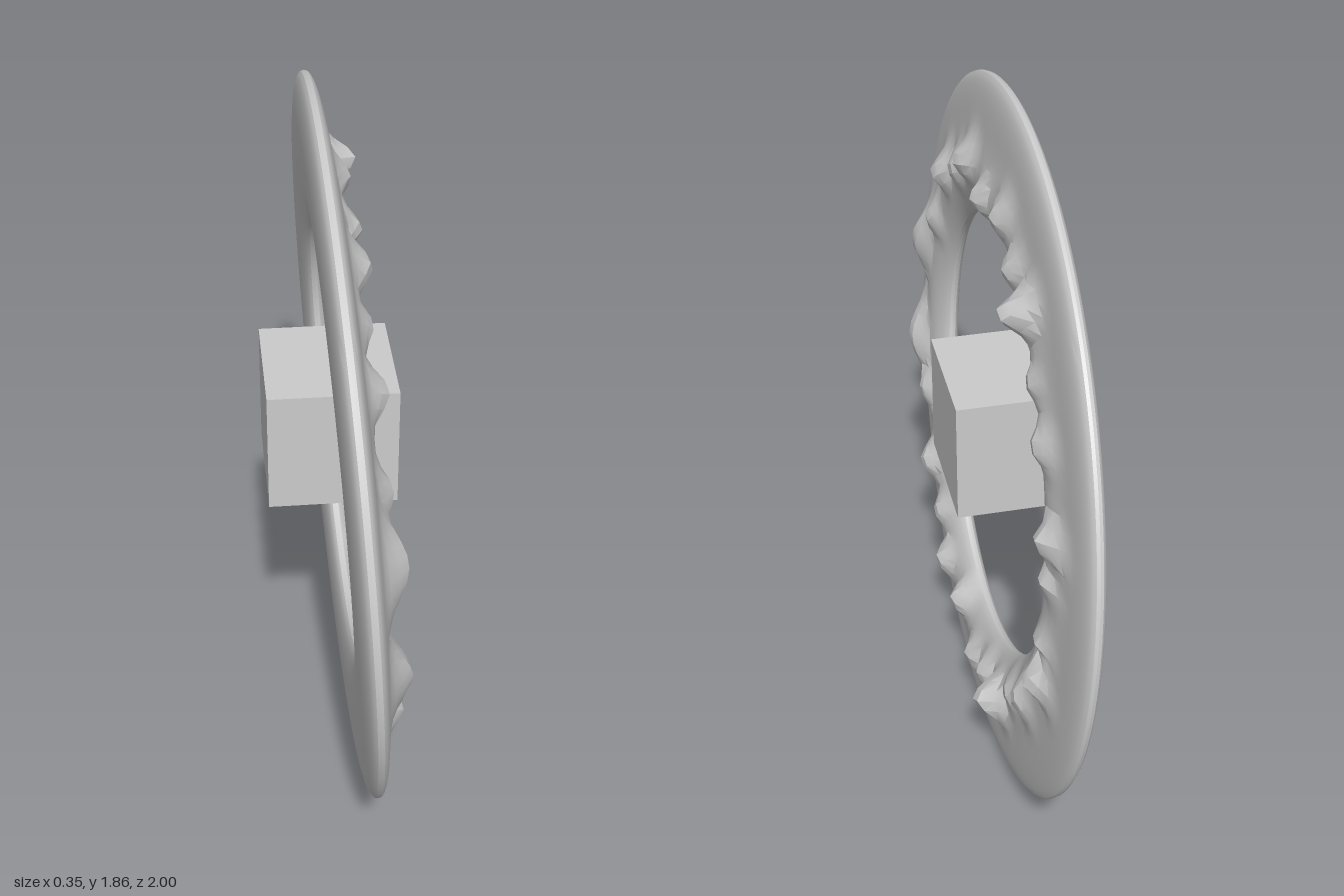
import * as THREE from 'three';
import { toCreasedNormals } from 'three/addons/utils/BufferGeometryUtils.js';

// Ridges on the ring face: [angle in degrees, height, radius, angular width]
// Angles run from +z; the set is mirrored above and below.
const RIDGES = [
  [13, 0.065, 0.80, 9], [25, 0.05, 0.74, 6], [43, 0.06, 0.77, 5],
  [56, 0.045, 0.74, 5], [68, 0.06, 0.76, 5], [83, 0.06, 0.70, 5],
  [98, 0.05, 0.75, 5], [110, 0.05, 0.72, 5], [121, 0.09, 0.75, 4.5],
  [134, 0.04, 0.71, 5], [146, 0.05, 0.74, 5], [163, 0.06, 0.77, 4],
  [173, 0.04, 0.74, 3],
];

function ridgeHeight(deg, r) {
  let h = 0;
  for (const [a, height, rc, w] of RIDGES) {
    const da = (deg - a) / w;
    // steep towards the hole, gentler towards the rim
    const dr = (r - rc) / (r < rc ? 0.065 : 0.06);
    h = Math.max(h, height * Math.exp(-da * da - dr * dr));
  }
  const base = (r - 0.72) / 0.08;
  return Math.max(h, 0.018 * Math.exp(-base * base));
}

// Closed oval section swept round an ellipse, raised into ridges on +x
function ringGeometry() {
  const around = 144, section = 40;
  const positions = [], index = [];
  for (let i = 0; i < around; i++) {
    const t = (i / around) * Math.PI * 2;
    const deg = THREE.MathUtils.radToDeg(Math.min(t, Math.PI * 2 - t));
    for (let j = 0; j < section; j++) {
      const p = (j / section) * Math.PI * 2;
      const s = Math.sin(p);
      const r = 0.81 + 0.19 * Math.cos(p);
      let x = Math.sign(s) * 0.035 * Math.pow(Math.abs(s), 0.8);
      if (s > 0.01) x += ridgeHeight(deg, r) * Math.min(1, s * 1.6);
      positions.push(x, 0.93 * r * Math.sin(t), r * Math.cos(t));

      const i2 = (i + 1) % around, j2 = (j + 1) % section;
      const a = i * section + j, b = i * section + j2;
      const c = i2 * section + j, d = i2 * section + j2;
      index.push(a, b, c, b, d, c);
    }
  }
  const geo = new THREE.BufferGeometry();
  geo.setAttribute('position', new THREE.Float32BufferAttribute(positions, 3));
  geo.setIndex(index);
  return toCreasedNormals(geo, 0.4);
}

export function createModel() {
  const model = new THREE.Group();
  const grey = new THREE.MeshStandardMaterial({ color: 0xcccccc });

  // Upright ring, leaning slightly
  const ring = new THREE.Mesh(ringGeometry(), grey);
  ring.name = 'ridgedRing';
  ring.position.set(0.022, 0.93, 0);
  ring.rotation.z = 0.0565;
  model.add(ring);

  // Cube floating in the hole
  const cube = new THREE.Mesh(new THREE.BoxGeometry(0.34, 0.34, 0.34), grey);
  cube.name = 'centreCube';
  cube.position.set(0, 0.97, -0.015);
  model.add(cube);

  return model;
}
